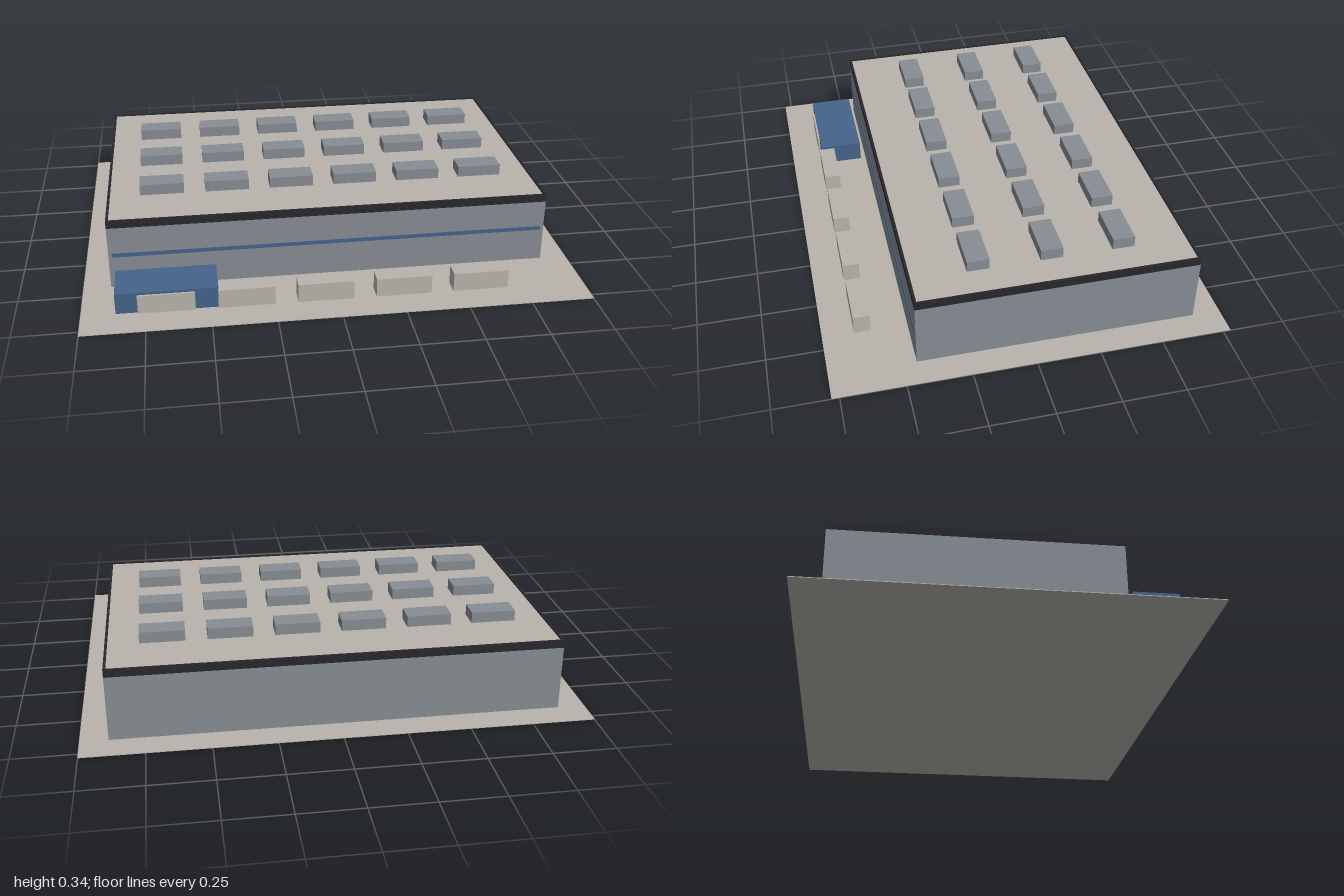
import * as THREE from 'three';

const mat = (name, color) => {
  const m = new THREE.MeshStandardMaterial({ color });
  m.name = name;
  return m;
};

export function createModel() {
  const model = new THREE.Group();
  model.name = 'warehouse';
  const concrete = mat('concrete', 0xb8b4ac);
  const wall = mat('wallGrey', 0x878d94);
  const trim = mat('darkTrim', 0x28272d);
  const blue = mat('blue', 0x45638a);

  // Box given by its minimum and maximum on each axis
  function box(name, material, [x0, x1], [y0, y1], [z0, z1], parent = model) {
    const mesh = new THREE.Mesh(new THREE.BoxGeometry(x1 - x0, y1 - y0, z1 - z0), material);
    mesh.position.set((x0 + x1) / 2, (y0 + y1) / 2, (z0 + z1) / 2);
    mesh.name = name;
    parent.add(mesh);
    return mesh;
  }
  const group = (name) => {
    const g = new THREE.Group();
    g.name = name;
    model.add(g);
    return g;
  };

  // Ground slab
  box('groundSlab', concrete, [-1, 1], [0, 0.003], [-0.78, 0.78]);

  // Main hall and its roof deck
  const X = 0.89, Z0 = -0.667, Z1 = 0.444, T = 0.01;
  box('hallWalls', wall, [-X, X], [0.003, 0.268], [Z0, Z1]);
  box('roofDeck', concrete, [-X + T, X - T], [0.268, 0.295], [Z0 + T, Z1 - T]);

  // Dark parapet band around the roof
  const parapet = group('parapet');
  const band = [0.268, 0.3];
  box('parapetFront', trim, [-X, X], band, [Z1 - T, Z1], parapet);
  box('parapetBack', trim, [-X, X], band, [Z0, Z0 + T], parapet);
  box('parapetLeft', trim, [X - T, X], band, [Z0 + T, Z1 - T], parapet);
  box('parapetRight', trim, [-X, -X + T], band, [Z0 + T, Z1 - T], parapet);

  // Painted stripe on the front wall
  box('frontStripe', blue, [-0.876, 0.876], [0.14, 0.156], [Z1, Z1 + 0.003]);

  // Rooftop units, three rows of six
  const units = group('rooftopUnits');
  for (const z of [-0.4, -0.113, 0.175]) {
    for (let i = 0; i < 6; i++) {
      const x = -0.668 + i * 0.267;
      box('rooftopUnit', wall, [x - 0.09, x + 0.09], [0.295, 0.34], [z - 0.044, z + 0.044], units);
    }
  }

  // Entrance block
  box('entranceBlock', blue, [-0.866, -0.468], [0.003, 0.09], [0.466, 0.646]);

  // Row of loading containers
  const containers = group('containers');
  for (let i = 0; i < 5; i++) {
    const x = -0.67 + i * 0.311;
    box('container', concrete, [x - 0.111, x + 0.111], [0.003, 0.08], [0.588, 0.655], containers);
  }
  return model;
}
